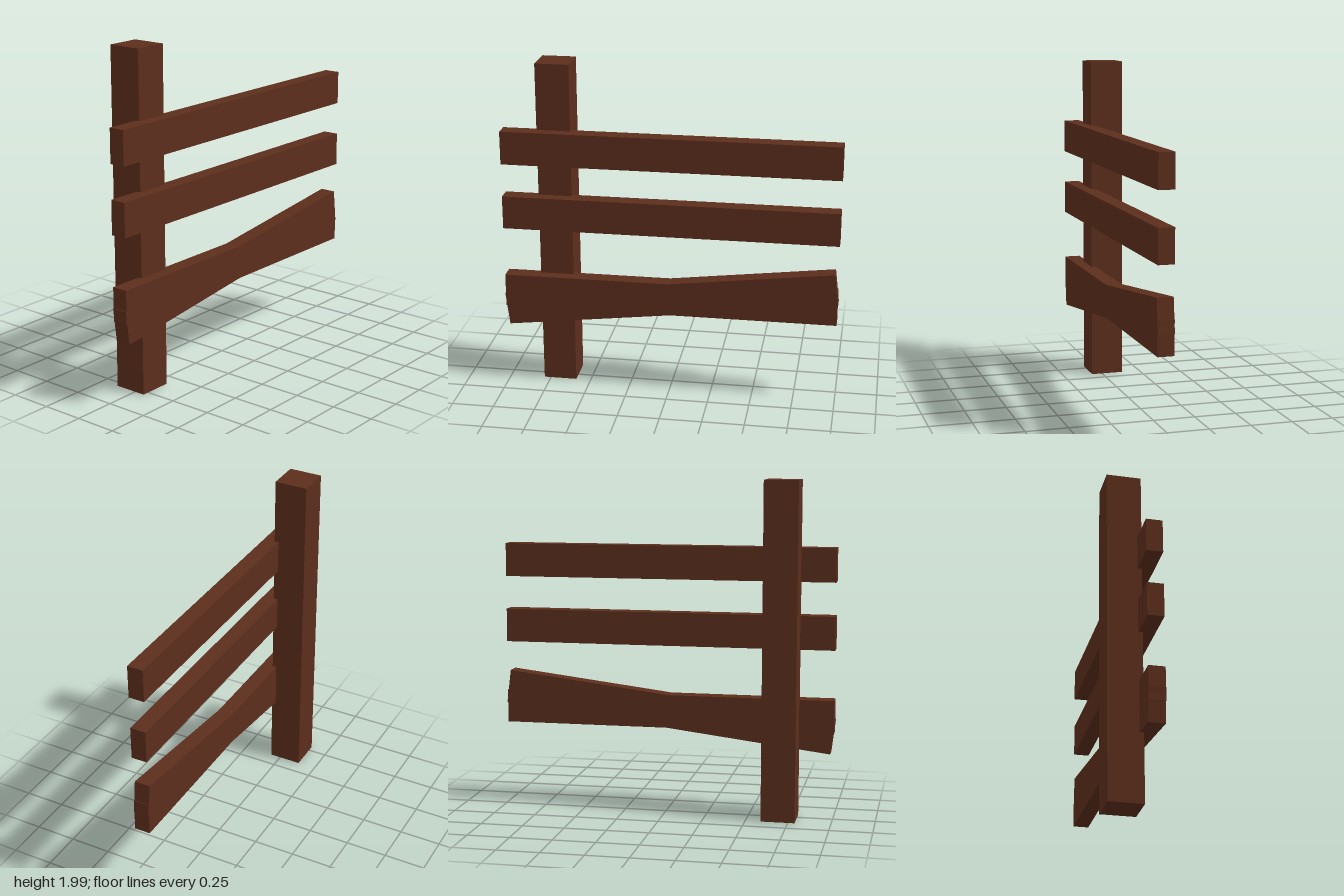
import * as THREE from 'three';

export function createModel() {
  const group = new THREE.Group();
  const wood = new THREE.MeshStandardMaterial({ color: 0x5c2e1c, flatShading: true });

  const beam = (name, size, position, tilt = 0) => {
    const mesh = new THREE.Mesh(new THREE.BoxGeometry(...size), wood);
    mesh.name = name;
    mesh.position.set(...position);
    mesh.rotation.z = tilt;
    group.add(mesh);
  };

  // Upright post behind the rails
  beam('post', [0.2, 1.99, 0.2], [-0.69, 0.995, -0.035]);

  // Level rails, plus one slipped rail crossing the lowest
  const railSize = [1.99, 0.199, 0.095];
  const railZ = 0.0875;
  beam('topRail', railSize, [0, 1.495, railZ]);
  beam('middleRail', railSize, [0, 1.097, railZ]);
  beam('bottomRail', railSize, [0, 0.6, railZ]);
  beam('slantedRail', railSize, [0, 0.6, railZ], THREE.MathUtils.degToRad(7));

  return group;
}
